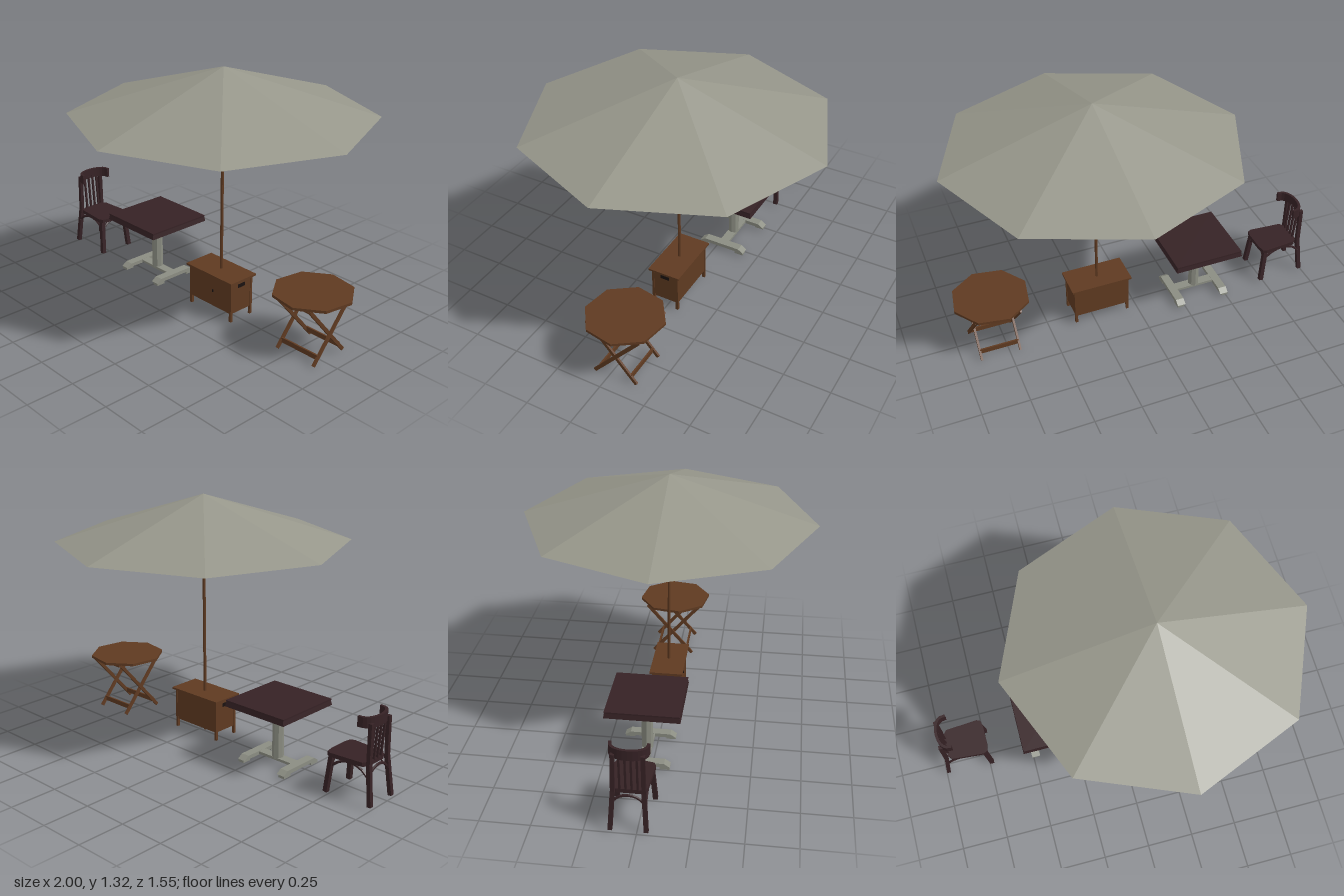
import * as THREE from 'three';

const mat = (name, color) => {
  const m = new THREE.MeshStandardMaterial({ color, flatShading: true, side: THREE.DoubleSide });
  m.name = name;
  return m;
};

export function createModel() {
  const canvas = mat('grey canvas', 0x96968a);
  const wood = mat('brown wood', 0x5f3a21);
  const dark = mat('dark wood', 0x362225);
  const metal = mat('grey metal', 0x8b8d82);
  const black = mat('dark recess', 0x1a1210);

  const root = new THREE.Group();
  root.name = 'patioSet';
  const group = (name, x, z) => {
    const g = new THREE.Group();
    g.name = name;
    g.position.set(x, 0, z);
    root.add(g);
    return g;
  };
  const add = (parent, name, geo, material, x = 0, y = 0, z = 0) => {
    const m = new THREE.Mesh(geo, material);
    m.name = name;
    m.position.set(x, y, z);
    parent.add(m);
    return m;
  };
  const box = (parent, name, material, w, h, d, x, y, z) =>
    add(parent, name, new THREE.BoxGeometry(w, h, d), material, x, y, z);
  // square bar running between two points
  const bar = (parent, name, material, a, b, w, d = w) => {
    const p = new THREE.Vector3(...a), q = new THREE.Vector3(...b);
    const dir = q.clone().sub(p);
    const m = box(parent, name, material, w, dir.length(), d, 0, 0, 0);
    m.position.copy(p).add(q).multiplyScalar(0.5);
    m.quaternion.setFromUnitVectors(new THREE.Vector3(0, 1, 0), dir.normalize());
    return m;
  };
  // flat outline in x/z, raised from y to y + h
  const slab = (parent, name, material, pts, y, h) => {
    const shape = new THREE.Shape(pts.map(([x, z]) => new THREE.Vector2(x, -z)));
    const geo = new THREE.ExtrudeGeometry(shape, { depth: h, bevelEnabled: false });
    geo.rotateX(-Math.PI / 2);
    return add(parent, name, geo, material, 0, y, 0);
  };

  // Parasol
  const parasol = group('parasol', 0.205, 0);
  add(parasol, 'canopy', new THREE.ConeGeometry(0.773, 0.245, 8, 1, true), canvas, 0, 1.1975, 0);
  add(parasol, 'pole', new THREE.CylinderGeometry(0.008, 0.008, 1.29, 8), wood, 0, 0.655, 0);

  // Cabinet around the pole, open underneath
  const cabinet = group('cabinet', 0.205, 0.003);
  box(cabinet, 'lid', wood, 0.335, 0.01, 0.18, 0, 0.234, 0);
  for (const s of [-1, 1]) {
    box(cabinet, 'longWall', wood, 0.3, 0.175, 0.008, 0, 0.143, s * 0.071);
    box(cabinet, 'endWall', wood, 0.008, 0.175, 0.142, s * 0.147, 0.143, 0);
    box(cabinet, 'handSlot', black, 0.003, 0.02, 0.05, s * 0.1515, 0.2, 0);
    for (const t of [-1, 1])
      box(cabinet, 'leg', wood, 0.014, 0.22, 0.014, s * 0.147, 0.12, t * 0.07);
  }
  box(cabinet, 'knob', black, 0.007, 0.014, 0.006, 0.02, 0.143, 0.077);

  // Square pedestal table with a hollow top
  const table = group('squareTable', -0.355, -0.041);
  box(table, 'topBoard', dark, 0.376, 0.008, 0.376, 0, 0.348, 0);
  const rim = new THREE.CylinderGeometry(0.185 * Math.SQRT2, 0.191 * Math.SQRT2, 0.034, 4, 1, true);
  rim.rotateY(Math.PI / 4);
  add(table, 'topRim', rim, dark, 0, 0.335, 0);
  add(table, 'column', new THREE.CylinderGeometry(0.03, 0.03, 0.31, 8), metal, 0, 0.19, 0);
  box(table, 'crossBar', metal, 0.27, 0.014, 0.05, 0, 0.034, 0);
  for (const s of [-1, 1]) {
    // runner foot with sloping ends
    const profile = new THREE.Shape([[-0.135, 0.022], [0.135, 0.022], [0.105, 0.042], [-0.105, 0.042]]
      .map(p => new THREE.Vector2(...p)));
    const geo = new THREE.ExtrudeGeometry(profile, { depth: 0.046, bevelEnabled: false });
    geo.translate(0, 0, -0.023).rotateY(Math.PI / 2);
    add(table, 'runner', geo, metal, s * 0.13, 0, 0);
    for (const t of [-1, 1])
      box(table, 'footPad', metal, 0.036, 0.014, 0.05, s * 0.134, 0.015, t * 0.108);
  }

  // Octagonal folding table with crossed legs
  const folding = group('foldingTable', 0.8, -0.036);
  const top = add(folding, 'top', new THREE.CylinderGeometry(0.205, 0.205, 0.014, 8), wood, 0, 0.319, 0);
  top.rotation.y = THREE.MathUtils.degToRad(12.7);
  for (const f of [-1, 1]) {
    const half = f > 0 ? 0.116 : 0.104;
    for (const s of [-1, 1])
      bar(folding, 'crossedLeg', wood, [s * half, 0.005, f * 0.115], [s * half, 0.312, -f * 0.15], 0.011, 0.018);
    box(folding, 'lowerBar', wood, half * 2, 0.026, 0.009, 0, 0.042, f * 0.085);
    box(folding, 'topBatten', wood, half * 2, 0.014, 0.016, 0, 0.306, f * 0.145);
  }

  // Chair facing the tables
  const chair = group('chair', 0, -0.04);
  slab(chair, 'seat', dark, [[-0.955, -0.06], [-0.935, -0.086], [-0.76, -0.1], [-0.738, -0.09], [-0.731, -0.05],
    [-0.731, 0.05], [-0.738, 0.09], [-0.76, 0.1], [-0.935, 0.086], [-0.955, 0.06]], 0.199, 0.021);
  // curved top rail
  const arc = r => Array.from({ length: 13 }, (_, i) => {
    const t = (i / 12 - 0.5) * Math.PI;
    return [-0.905 - (0.073 - r) * Math.pow(Math.max(0, Math.cos(t)), 0.7), (0.096 - r) * Math.sin(t)];
  });
  slab(chair, 'topRail', dark, [...arc(0), ...arc(0.014).reverse()], 0.396, 0.053);
  for (const s of [-1, 1]) {
    bar(chair, 'backLeg', dark, [-0.988, 0.01, s * 0.085], [-0.965, 0.215, s * 0.073], 0.021);
    bar(chair, 'backPost', dark, [-0.965, 0.2, s * 0.073], [-0.966, 0.42, s * 0.07], 0.02);
    bar(chair, 'frontLeg', dark, [-0.737, 0.01, s * 0.094], [-0.757, 0.205, s * 0.08], 0.023);
    for (const z of [0.014, 0.042])
      bar(chair, 'spindle', dark, [-0.95, 0.21, s * z], [-0.966, 0.41, s * z], 0.01);
    // bent side brace
    const side = new THREE.CatmullRomCurve3([[-0.97, 0.145], [-0.93, 0.18], [-0.87, 0.197], [-0.81, 0.185], [-0.752, 0.145]]
      .map(([x, y]) => new THREE.Vector3(x, y, s * 0.08)));
    add(chair, 'sideBrace', new THREE.TubeGeometry(side, 10, 0.007, 5), dark);
    // bent front and back braces
    const x = s > 0 ? -0.752 : -0.968;
    const cross = new THREE.CatmullRomCurve3([[-0.084, 0.145], [-0.045, 0.185], [0, 0.197], [0.045, 0.185], [0.084, 0.145]]
      .map(([z, y]) => new THREE.Vector3(x, y, z)));
    add(chair, 'crossBrace', new THREE.TubeGeometry(cross, 10, 0.007, 5), dark);
  }
  return root;
}
